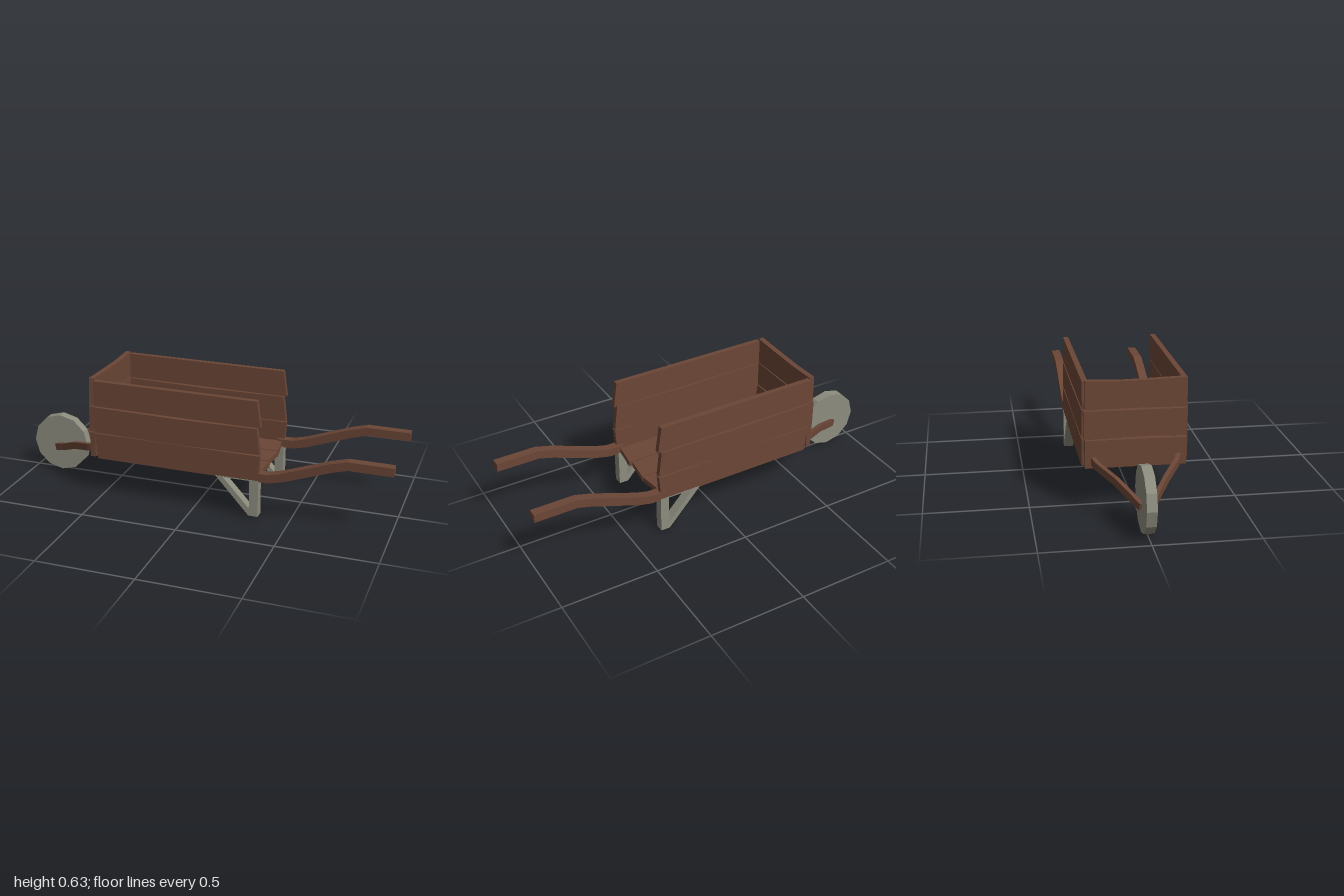
import * as THREE from 'three';

const wood = new THREE.MeshStandardMaterial({ color: 0x6b4636, flatShading: true });
const metal = new THREE.MeshStandardMaterial({ color: 0x8c8c7e, flatShading: true });

function add(group, name, geometry, material) {
  const mesh = new THREE.Mesh(geometry, material);
  mesh.name = name;
  group.add(mesh);
  return mesh;
}

// Slab with the given 2D outline, centred on its thickness
function slab(outline, thickness, hole) {
  const toPoints = (list) => list.map(([x, y]) => new THREE.Vector2(x, y));
  const shape = new THREE.Shape(toPoints(outline));
  if (hole) shape.holes.push(new THREE.Path(toPoints(hole)));
  return new THREE.ExtrudeGeometry(shape, { depth: thickness, bevelEnabled: false })
    .translate(0, 0, -thickness / 2);
}

// Rectangular bar swept along a bent path
function bar(path, height, width) {
  const pts = path.map((p) => new THREE.Vector3(...p));
  const rings = pts.map((p, i) => {
    const t = pts[Math.min(i + 1, pts.length - 1)].clone().sub(pts[Math.max(i - 1, 0)]).normalize();
    const side = t.clone().cross(new THREE.Vector3(0, 1, 0)).normalize();
    const up = side.clone().cross(t);
    return [[1, 1], [-1, 1], [-1, -1], [1, -1]].map(([s, u]) =>
      p.clone().addScaledVector(side, s * width / 2).addScaledVector(up, u * height / 2));
  });
  const verts = [];
  const quad = (a, b, c, d) => [a, b, c, a, c, d].forEach((v) => verts.push(v.x, v.y, v.z));
  for (let i = 0; i < rings.length - 1; i++) {
    for (let j = 0; j < 4; j++) {
      const k = (j + 1) % 4;
      quad(rings[i][j], rings[i + 1][j], rings[i + 1][k], rings[i][k]);
    }
  }
  quad(...rings[0]);
  quad(...rings[rings.length - 1].slice().reverse());
  const geometry = new THREE.BufferGeometry();
  geometry.setAttribute('position', new THREE.Float32BufferAttribute(verts, 3));
  geometry.computeVertexNormals();
  return geometry;
}

export function createModel() {
  const model = new THREE.Group();
  model.name = 'wheelbarrow';

  // Wheel
  const wheel = add(model, 'wheel', new THREE.CylinderGeometry(0.157, 0.157, 0.048, 12), metal);
  wheel.rotation.x = Math.PI / 2;
  wheel.position.set(-0.844, 0.157, 0);

  // Floor planks, outlines in x and z
  const floor = new THREE.Group();
  floor.name = 'floor';
  model.add(floor);
  [
    [[-0.515, -0.212], [0.33, -0.212], [0.35, -0.078], [-0.53, -0.076]],
    [[-0.53, -0.07], [0.35, -0.072], [0.335, 0.062], [-0.53, 0.066]],
    [[-0.53, 0.072], [0.348, 0.07], [0.332, 0.206], [-0.515, 0.21]],
  ].forEach((outline) => {
    add(floor, 'floorPlank', slab(outline, 0.028), wood).rotation.x = Math.PI / 2;
  });
  floor.position.y = 0.22;

  // Side planks, outlines in x and y
  const sidePlanks = [
    [[-0.515, 0.203], [0.338, 0.2], [0.348, 0.336], [-0.53, 0.34]],
    [[-0.53, 0.344], [-0.1, 0.338], [0.347, 0.343], [0.33, 0.477], [-0.1, 0.474], [-0.53, 0.481]],
    [[-0.53, 0.487], [0, 0.483], [0.348, 0.482], [0.328, 0.617], [-0.53, 0.62]],
  ];

  // End planks, outlines in z and y
  const endPlanks = [
    [[-0.24, 0.205], [0.24, 0.205], [0.24, 0.338], [0, 0.341], [-0.24, 0.341]],
    [[-0.245, 0.345], [0.08, 0.352], [0.245, 0.346], [0.242, 0.481], [0, 0.482], [-0.245, 0.484]],
    [[-0.24, 0.489], [0, 0.491], [0.245, 0.487], [0.233, 0.629], [0.05, 0.624], [-0.09, 0.622], [-0.237, 0.628]],
  ];
  endPlanks.forEach((outline, i) => {
    const plank = add(model, 'endPlank', slab(outline, 0.028), wood);
    plank.rotation.y = -Math.PI / 2;
    plank.position.x = -0.547 + (i - 1) * 0.002;
  });

  for (const s of [1, -1]) {
    const sideName = s > 0 ? 'front' : 'back';

    sidePlanks.forEach((outline, i) => {
      add(model, sideName + 'SidePlank', slab(outline, 0.027), wood)
        .position.z = s * (0.237 - (i - 1) * 0.002);
    });

    // Handle rising to a level grip
    add(model, sideName + 'Handle', bar([
      [0.31, 0.222, s * 0.23], [0.39, 0.222, s * 0.23], [0.46, 0.239, s * 0.23],
      [0.7, 0.326, s * 0.23], [0.78, 0.348, s * 0.23], [1, 0.347, s * 0.23],
    ], 0.044, 0.046), wood);

    // Leg with diagonal brace
    add(model, sideName + 'Leg', slab(
      [[0.12, 0.205], [0.295, 0.01], [0.343, 0.01], [0.343, 0.205]], 0.048,
      [[0.16, 0.2], [0.297, 0.2], [0.297, 0.05]],
    ), metal).position.z = s * 0.23;

    // Fork arm bending in to the axle
    add(model, sideName + 'ForkArm', bar([
      [-0.53, 0.25, s * 0.213], [-0.6, 0.23, s * 0.188], [-0.71, 0.196, s * 0.118],
      [-0.81, 0.148, s * 0.055], [-0.87, 0.13, s * 0.026],
    ], 0.036, 0.022), wood);
  }

  return model;
}
